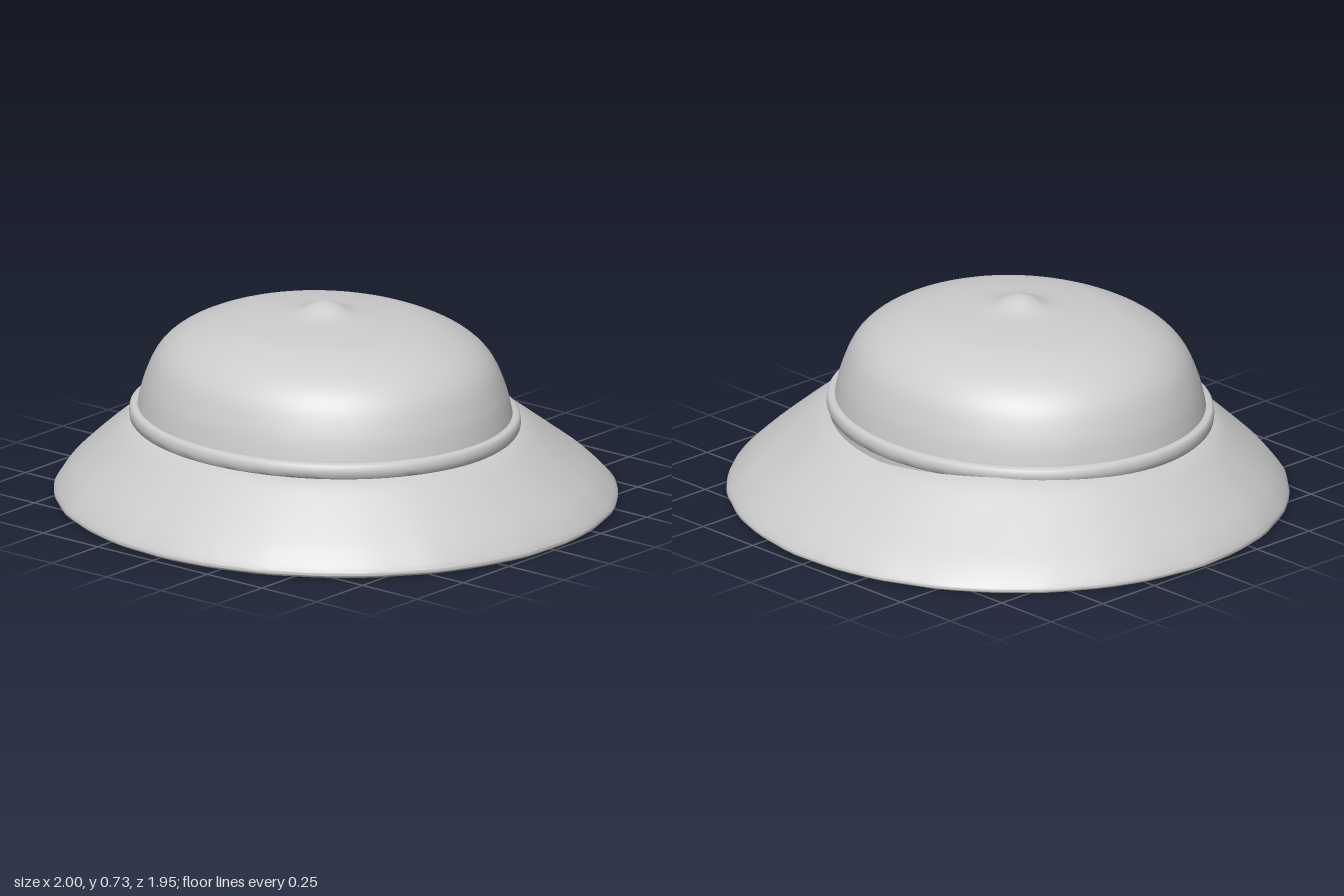
import * as THREE from 'three';
import { toCreasedNormals } from 'three/addons/utils/BufferGeometryUtils.js';

const SEGMENTS = 96;
const CROWN_Z = 0.06; // the crown sits slightly forward of the brim centre
const DEPTH = 0.907; // the crown is an oval, narrower front to back

const points = (list) => list.map(([r, y]) => new THREE.Vector2(r, y));

// Smooth curve through a few profile points
function smooth(list, n) {
  const curve = new THREE.SplineCurve(points(list));
  return curve.getPoints(n).map((p) => new THREE.Vector2(Math.max(p.x, 0), p.y));
}

// Oval turned part, sharing the crown's centre
function ovalLathe(profile, crease) {
  const geo = new THREE.LatheGeometry(profile, SEGMENTS);
  geo.scale(1, 1, DEPTH);
  geo.translate(0, 0, CROWN_Z);
  return toCreasedNormals(geo, crease);
}

// Brim: closed profile whose rings blend from the outer edge to the crown's oval
function brimGeometry() {
  const outside = smooth([[0.985, 0], [1.0, 0.012], [0.988, 0.038], [0.94, 0.095],
    [0.86, 0.168], [0.78, 0.235], [0.735, 0.267], [0.7, 0.282]], 28);
  const inside = smooth([[0.695, 0.205], [0.74, 0.188], [0.82, 0.135],
    [0.9, 0.07], [0.95, 0.018], [0.965, 0.003]], 18);
  const geo = new THREE.LatheGeometry([...outside, ...inside, outside[0].clone()], SEGMENTS);
  const pos = geo.attributes.position;
  for (let i = 0; i < pos.count; i++) {
    const x = pos.getX(i), z = pos.getZ(i);
    const t = THREE.MathUtils.clamp((1 - Math.hypot(x, z)) / 0.3, 0, 1);
    const angle = Math.atan2(x, z);
    const back = Math.max(0, -Math.cos(angle));
    // Slightly uneven outer edge
    const wave = 1 + 0.0015 * (1 - t) * (Math.sin(angle * 19) + Math.sin(angle * 31 + 1));
    // The opening stands away from the band in a narrow crescent at the back
    const gap = z < 0 ? 0.045 * t * Math.max(0, 1 - (x / 0.5) ** 2) : 0;
    pos.setX(i, x * wave);
    pos.setZ(i, z * wave * THREE.MathUtils.lerp(0.972, DEPTH, t) + CROWN_Z * t - gap);
    // and rides up a little on either side of it
    pos.setY(i, pos.getY(i) + 0.018 * t * t * back * Math.abs(Math.sin(angle)) * 2);
  }
  return toCreasedNormals(geo, 0.8);
}

export function createModel() {
  const hat = new THREE.Group();
  hat.name = 'sunHat';
  const grey = new THREE.MeshStandardMaterial({ color: 0xcccccc });
  grey.name = 'light grey';

  const add = (name, geometry) => {
    const mesh = new THREE.Mesh(geometry, grey);
    mesh.name = name;
    hat.add(mesh);
  };

  add('brim', brimGeometry());

  // Domed crown with a small soft point on top
  add('crown', ovalLathe(smooth([[0.688, 0.29], [0.68, 0.345], [0.657, 0.43], [0.61, 0.525],
    [0.53, 0.593], [0.4, 0.647], [0.27, 0.67], [0.16, 0.681], [0.1, 0.692],
    [0.045, 0.717], [0, 0.727]], 50), 1));

  // Rounded band around the base of the crown
  add('band', ovalLathe(points([[0.66, 0.28], [0.703, 0.28], [0.71, 0.287], [0.713, 0.307],
    [0.71, 0.328], [0.703, 0.334], [0.672, 0.334], [0.66, 0.28]]), 0.9));

  // Flat underside closing the crown
  add('lining', ovalLathe(points([[0, 0.203], [0.7, 0.204], [0.7, 0.285]]), 0.6));

  return hat;
}
